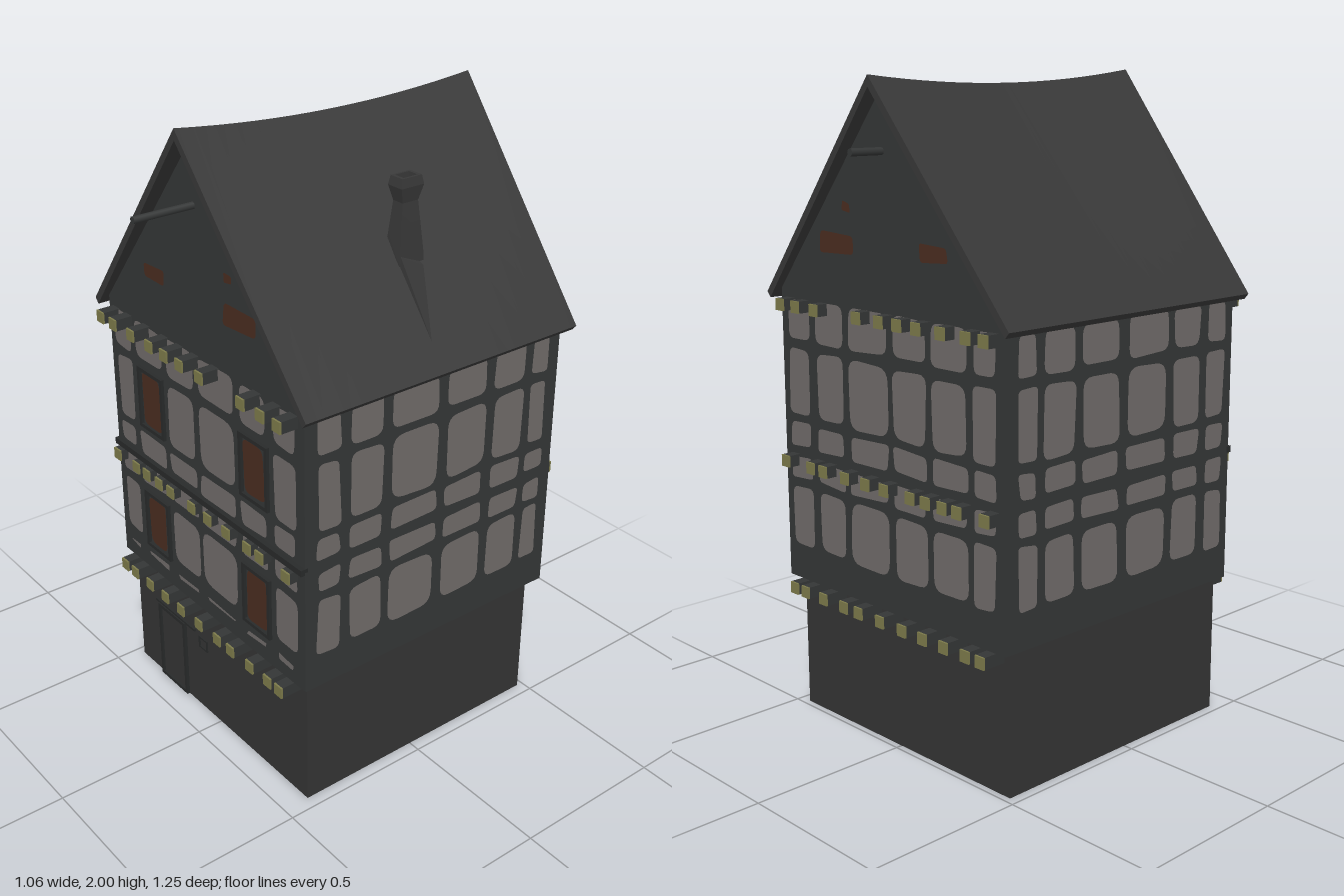
import * as THREE from 'three';
import { mergeGeometries, toCreasedNormals } from 'three/addons/utils/BufferGeometryUtils.js';
import { ConvexGeometry } from 'three/addons/geometries/ConvexGeometry.js';

const mat = (name, color) => {
  const m = new THREE.MeshStandardMaterial({ color });
  m.name = name;
  return m;
};
const M = {
  timber: mat('timber', 0x343636),
  plaster: mat('plaster', 0x706b69),
  roof: mat('roof tiles', 0x383838),
  stone: mat('stone', 0x343434),
  olive: mat('joist end', 0x7c7a4a),
  glass: mat('brown window', 0x4a2c20),
  frame: mat('dark frame', 0x282a2a),
};

// outer limits of the timbered storeys
const FRONT = 0.44, BACK = -0.515, SIDE = 0.49;

let seed = 7;
const rand = () => ((seed = (seed * 16807) % 2147483647) / 2147483647) - 0.5;

function add(parent, name, geo, material) {
  const m = new THREE.Mesh(geo, material);
  m.name = name;
  parent.add(m);
  return m;
}

// box from its limits
function box(x0, x1, y0, y1, z0, z1) {
  return new THREE.BoxGeometry(x1 - x0, y1 - y0, z1 - z0)
    .translate((x0 + x1) / 2, (y0 + y1) / 2, (z0 + z1) / 2);
}

// flat plate with slightly uneven rounded corners
function plate(x0, x1, y0, y1, z = 0.004) {
  const r = Math.min(x1 - x0, y1 - y0) * 0.25;
  const c = [[x0, y0], [x1, y0], [x1, y1], [x0, y1]]
    .map(([x, y]) => new THREE.Vector2(x + rand() * 0.012, y + rand() * 0.012));
  const s = new THREE.Shape();
  c.forEach((p, i) => {
    const toward = (q) => p.clone().add(q.clone().sub(p).setLength(r));
    const a = toward(c[(i + 3) % 4]), b = toward(c[(i + 1) % 4]);
    if (i === 0) s.moveTo(a.x, a.y); else s.lineTo(a.x, a.y);
    s.quadraticCurveTo(p.x, p.y, b.x, b.y);
  });
  s.closePath();
  return new THREE.ShapeGeometry(s, 4).translate(0, 0, z);
}

// plaster panels: rows of [bottom, top, columns]
const ROWS = [[1.2, 1.32], [0.965, 1.17], [0.868, 0.94], [0.765, 0.83], [0.55, 0.735]];
const SIDE_COLS = [[-0.4, -0.32], [-0.285, -0.167], [-0.135, 0.037], [0.073, 0.22], [0.253, 0.373], [0.403, 0.467]];
const FRONT_COLS = [[-0.455, -0.37], [-0.345, -0.2], [-0.175, -0.035], [-0.01, 0.165], [0.195, 0.32], [0.355, 0.455]];

function panels(cols, skipWindows) {
  const list = [];
  ROWS.forEach(([y0, y1], r) => cols.forEach(([x0, x1], c) => {
    if (skipWindows && (r === 1 || r === 4) && (c === 1 || c === 4)) return;
    list.push(plate(x0, x1, y0, y1));
  }));
  if (skipWindows) cols.forEach(([x0, x1]) => list.push(plate(x0 + 0.015, x1 - 0.015, 0.487, 0.503)));
  return mergeGeometries(list);
}

// joist ends: rows of height and positions along the gable wall
const JOISTS = [
  [1.305, [-0.45, -0.38, -0.28, -0.18, -0.1, -0.02, 0.08, 0.28, 0.37, 0.445]],
  [0.82, [-0.45, -0.34, -0.28, -0.21, -0.145, -0.03, 0.055, 0.15, 0.255, 0.315, 0.44]],
  [0.415, [-0.43, -0.37, -0.28, -0.19, -0.1, 0, 0.1, 0.17, 0.27, 0.36, 0.415]],
];

function joists(parent, flip, lengths) {
  const bodies = [], ends = [], h = 0.018;
  JOISTS.forEach(([y, xs], r) => xs.forEach((px) => {
    const x = px * flip, l = lengths[r];
    bodies.push(box(x - h, x + h, y - h, y + h, -0.1, l));
    ends.push(box(x - h, x + h, y - h, y + h, l, l + 0.006));
  }));
  add(parent, 'joists', mergeGeometries(bodies), M.timber);
  add(parent, 'joistEnds', mergeGeometries(ends), M.olive);
}

// brown openings high in the gable
function gableOpenings(parent, flip) {
  const spots = [[-0.27, -0.16, 1.485, 1.53], [0.135, 0.285, 1.475, 1.535], [0.14, 0.175, 1.6, 1.625]];
  const geos = spots.map(([a, b, y0, y1]) =>
    flip > 0 ? plate(a, b, y0, y1) : plate(-b, -a, y0, y1));
  add(parent, 'gableOpenings', mergeGeometries(geos), M.glass);
}

// rectangular frame with a hole
function frame(x0, x1, y0, y1, t, depth) {
  const s = new THREE.Shape([[x0, y0], [x1, y0], [x1, y1], [x0, y1]].map((p) => new THREE.Vector2(...p)));
  s.holes.push(new THREE.Path([[x0 + t, y0 + t], [x0 + t, y1 - t], [x1 - t, y1 - t], [x1 - t, y0 + t]]
    .map((p) => new THREE.Vector2(...p))));
  return new THREE.ExtrudeGeometry(s, { depth, bevelEnabled: false });
}

// sagging roof shell lofted from front to back
function roofGeometry() {
  const N = 16, pos = [], idx = [];
  for (let i = 0; i <= N; i++) {
    const t = i / N, ze = 0.465 - 1.005 * t, zr = 0.49 - 1.05 * t;
    const top = 1.957 + 0.115 * (zr + 0.1) ** 2;
    pos.push(-0.53, 1.335, ze, 0, top, zr, 0.53, 1.335, ze,
      0.515, 1.318, ze, 0, top - 0.033, zr, -0.515, 1.318, ze);
    if (i === N) break;
    for (let j = 0; j < 6; j++) {
      const a = i * 6 + j, b = i * 6 + (j + 1) % 6;
      idx.push(a, b, a + 6, b, b + 6, a + 6);
    }
  }
  const cap = [0, 5, 4, 0, 4, 1, 1, 4, 3, 1, 3, 2];
  idx.push(...cap, ...cap.map((k) => k + N * 6).reverse());
  const g = new THREE.BufferGeometry();
  g.setAttribute('position', new THREE.Float32BufferAttribute(pos, 3));
  g.setIndex(idx);
  return toCreasedNormals(g, 0.5);
}

export function createModel() {
  const house = new THREE.Group();
  house.name = 'timberHouse';

  // stone ground floor and jettied upper storeys
  add(house, 'groundFloor', box(-0.47, 0.46, 0, 0.44, -0.48, 0.412), M.stone);
  add(house, 'upperStoreys', box(-SIDE, SIDE, 0.435, 1.335, BACK, FRONT), M.timber);

  // gable walls
  [[FRONT - 0.04, 1.962], [BACK, 1.945]].forEach(([z, apex], i) => {
    const s = new THREE.Shape([[-SIDE, 1.33], [SIDE, 1.33], [SIDE, 1.36], [0, apex], [-SIDE, 1.36]]
      .map((p) => new THREE.Vector2(...p)));
    add(house, i ? 'backGable' : 'frontGable',
      new THREE.ExtrudeGeometry(s, { depth: 0.04, bevelEnabled: false }).translate(0, 0, z), M.timber);
  });

  // one group per wall, each facing its own +z
  const wall = (name, x, z, angle) => {
    const g = new THREE.Group();
    g.name = name;
    g.position.set(x, 0, z);
    g.rotation.y = angle;
    house.add(g);
    return g;
  };
  const front = wall('frontWall', 0, FRONT, 0);
  const back = wall('backWall', 0, BACK, Math.PI);
  const left = wall('leftWall', SIDE, 0, Math.PI / 2);
  const right = wall('rightWall', -SIDE, 0, -Math.PI / 2);
  add(front, 'plasterPanels', panels(FRONT_COLS, true), M.plaster);
  add(back, 'plasterPanels', panels(FRONT_COLS.map(([a, b]) => [-b, -a]), false), M.plaster);
  add(left, 'plasterPanels', panels(SIDE_COLS, false), M.plaster);
  add(right, 'plasterPanels', panels(SIDE_COLS.map(([a, b]) => [-b, -a]), false), M.plaster);
  joists(front, 1, [0.054, 0.028, 0.04]);
  joists(back, -1, [0.038, 0.038, 0.038]);
  gableOpenings(front, 1);
  gableOpenings(back, -1);
  add(front, 'storeyBeam', box(-SIDE, SIDE, 0.838, 0.858, -0.01, 0.014), M.frame);

  // windows
  for (const x of [-0.268, 0.262]) for (const y of [0.632, 1.068]) {
    add(front, 'windowFrame', frame(x - 0.068, x + 0.068, y - 0.103, y + 0.103, 0.012, 0.01), M.frame);
    add(front, 'windowPane', plate(x - 0.048, x + 0.048, y - 0.085, y + 0.085), M.glass);
  }

  // door with frame, lintel line and a small hatch
  add(house, 'door', box(-0.335, -0.19, 0.005, 0.275, 0.4, 0.415), M.stone);
  add(house, 'doorFrame', frame(-0.34, -0.185, 0, 0.285, 0.012, 0.014).translate(0, 0, 0.408), M.frame);
  add(house, 'doorLintel', box(-0.36, -0.13, 0.284, 0.292, 0.405, 0.418), M.frame);
  add(house, 'hatch', frame(-0.11, -0.062, 0.238, 0.28, 0.006, 0.008).translate(0, 0, 0.408), M.frame);

  // roof and gable poles
  add(house, 'roof', roofGeometry(), M.roof);
  for (const [z0, z1] of [[0.4, 0.63], [-0.625, -0.48]]) {
    const pole = new THREE.CylinderGeometry(0.011, 0.011, z1 - z0, 8).rotateX(Math.PI / 2);
    add(house, 'gablePole', pole.translate(0, 1.775, (z0 + z1) / 2), M.timber);
  }

  // square chimney with a flared, hollow head
  const profile = [[0.032, 1.5], [0.032, 1.6], [0.02, 1.76], [0.029, 1.805], [0.025, 1.832], [0.018, 1.832], [0.016, 1.8], [0, 1.8]]
    .map(([w, y]) => new THREE.Vector2(w * Math.SQRT2, y));
  const stack = new THREE.LatheGeometry(profile, 4, Math.PI / 4).scale(1, 1, 1.4).translate(0.288, 0, -0.07);
  add(house, 'chimney', toCreasedNormals(stack, 0.2), M.roof);

  // tile fold running down the roof from the chimney
  const fold = [[0.25, 1.66, -0.03], [0.25, 1.64, -0.11], [0.32, 1.61, -0.03], [0.33, 1.565, -0.12],
    [0.47, 1.405, -0.022], [0.3, 1.5, -0.07], [0.25, 1.58, -0.07]].map((p) => new THREE.Vector3(...p));
  add(house, 'chimneyFold', new ConvexGeometry(fold), M.roof);

  return house;
}
